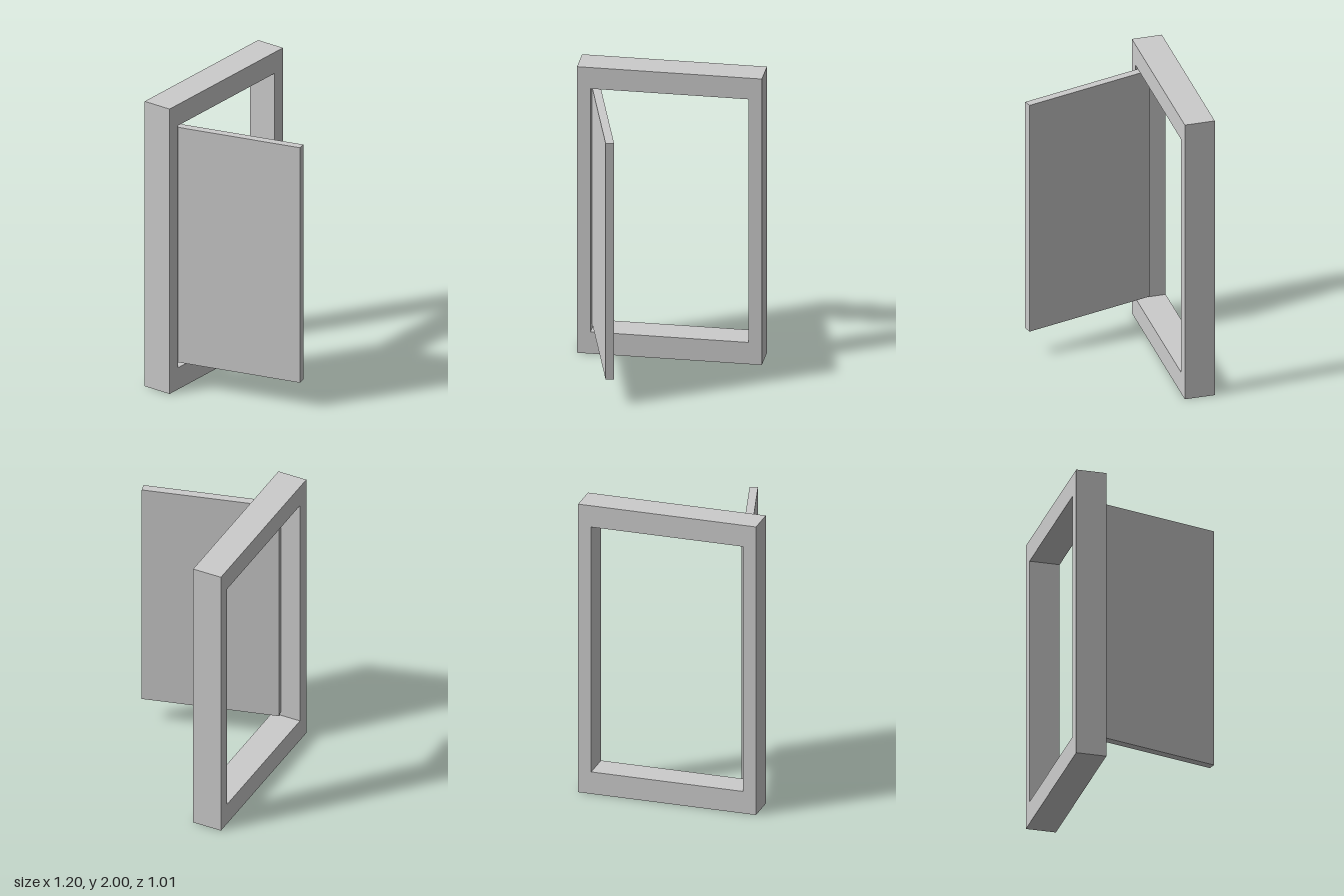
import * as THREE from 'three';

const material = new THREE.MeshStandardMaterial({ color: 0xcccccc, flatShading: true });

function rectangle(path, x0, y0, x1, y1) {
  path.moveTo(x0, y0);
  path.lineTo(x1, y0);
  path.lineTo(x1, y1);
  path.lineTo(x0, y1);
  path.closePath();
  return path;
}

export function createModel() {
  const model = new THREE.Group();
  model.name = 'openDoor';

  // Rectangular surround with a through opening
  const outline = rectangle(new THREE.Shape(), -0.6, 0, 0.6, 2);
  outline.holes.push(rectangle(new THREE.Path(), -0.512, 0.152, 0.512, 1.852));
  const frame = new THREE.Mesh(
    new THREE.ExtrudeGeometry(outline, { depth: 0.2, bevelEnabled: false }),
    material
  );
  frame.name = 'frame';
  frame.position.z = -0.503;
  model.add(frame);

  // Door leaf, pivoting about its back corner and swung open to the front
  const hinge = new THREE.Group();
  hinge.name = 'door';
  hinge.position.set(-0.512, 0.183, -0.366);
  hinge.rotation.y = THREE.MathUtils.degToRad(15);
  const [thickness, height, width] = [0.054, 1.65, 0.9];
  const leaf = new THREE.Mesh(new THREE.BoxGeometry(thickness, height, width), material);
  leaf.name = 'doorLeaf';
  leaf.position.set(thickness / 2, height / 2, width / 2);
  hinge.add(leaf);
  model.add(hinge);

  return model;
}
